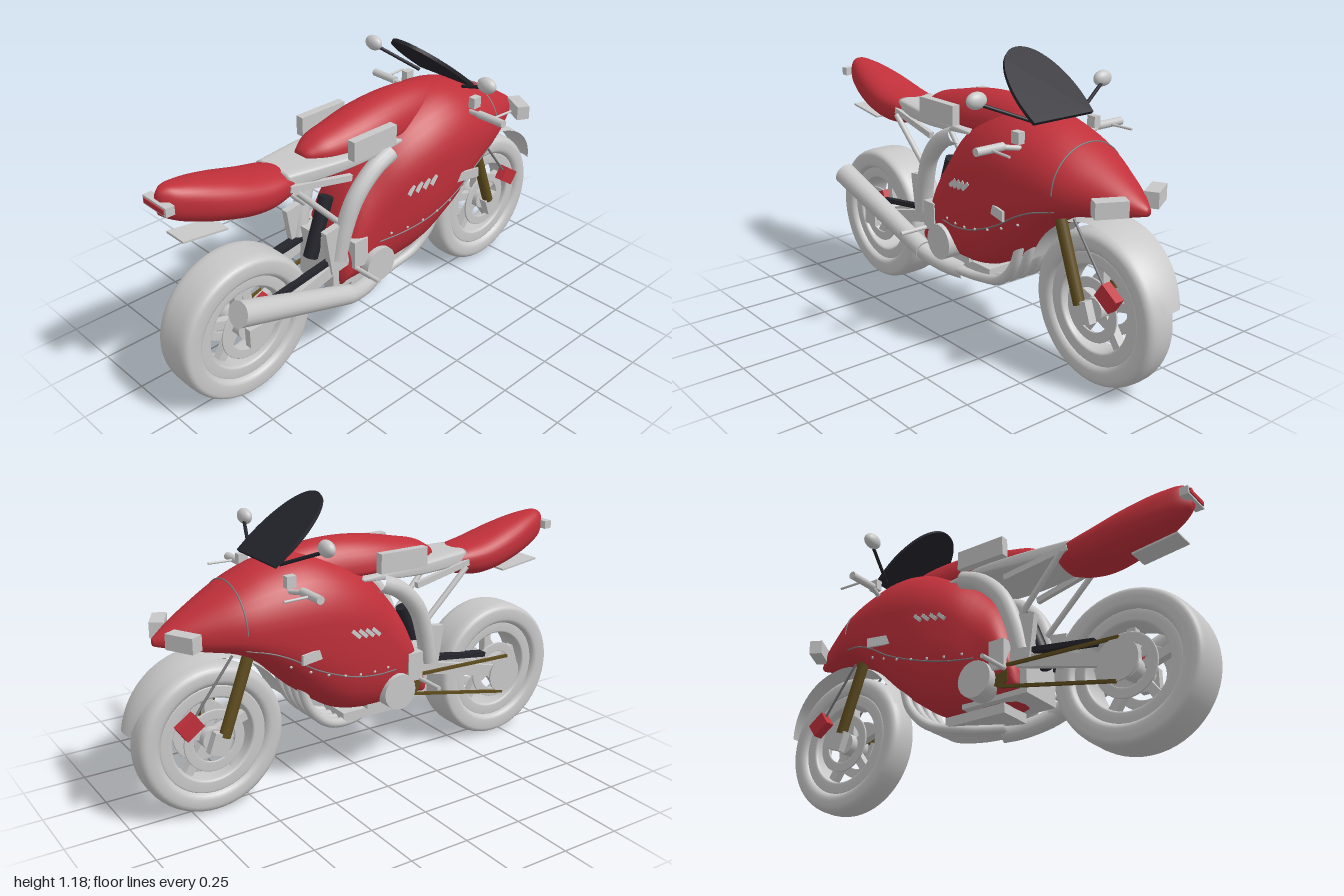
import * as THREE from 'three';

const V = (x, y, z) => new THREE.Vector3(x, y, z);
const mat = (name, color, side = THREE.FrontSide) => {
  const m = new THREE.MeshStandardMaterial({ color, side });
  m.name = name;
  return m;
};
const red = mat('redPaint', 0xc0303a);
const grey = mat('lightMetal', 0xc8c8c8);
const greySheet = mat('lightSheet', 0xc8c8c8, THREE.DoubleSide);
const black = mat('darkGlass', 0x24242c);
const olive = mat('bronze', 0x5f4d1e);
const seamMat = mat('seamGrey', 0x77777a);

// Stations are [z, top, bottom, halfWidth, widestY], smoothly interpolated along z
function profile(st) {
  const it = new THREE.CubicInterpolant(st.map(s => s[0]), st.flatMap(s => s.slice(1)), 4);
  return z => Array.from(it.evaluate(z));
}
const UP = 1, LOW = 0.72;
function loft(st, up = UP, low = LOW, rows = 40, sides = 36) {
  const at = profile(st), z0 = st[0][0], z1 = st[st.length - 1][0], pos = [], idx = [];
  for (let i = 0; i <= rows; i++) {
    const z = z0 + (z1 - z0) * i / rows, [t, b, w, m] = at(z);
    for (let j = 0; j < sides; j++) {
      const a = j / sides * Math.PI * 2, c = Math.cos(a), s = Math.sin(a), e = s > 0 ? up : low;
      pos.push(w * Math.sign(c) * Math.abs(c) ** e,
        m + (s > 0 ? t - m : m - b) * Math.sign(s) * Math.abs(s) ** e, z);
    }
  }
  for (let i = 0; i < rows; i++) for (let j = 0; j < sides; j++) {
    const a = i * sides + j, b = i * sides + (j + 1) % sides;
    idx.push(a, b, b + sides, a, b + sides, a + sides);
  }
  const n = pos.length / 3, last = rows * sides;
  pos.push(0, at(z0)[3], z0, 0, at(z1)[3], z1);
  for (let j = 0; j < sides; j++) {
    const k = (j + 1) % sides;
    idx.push(n, k, j, n + 1, last + j, last + k);
  }
  const g = new THREE.BufferGeometry();
  g.setAttribute('position', new THREE.Float32BufferAttribute(pos, 3));
  g.setIndex(idx);
  g.computeVertexNormals();
  return g;
}

export function createModel() {
  const root = new THREE.Group();
  const add = (name, geo, m, p = [0, 0, 0], r = [0, 0, 0], parent = root) => {
    const o = new THREE.Mesh(geo, m);
    o.name = name;
    o.position.set(...p);
    o.rotation.set(...r);
    parent.add(o);
    return o;
  };
  const box = (name, s, m, p, r, parent) => add(name, new THREE.BoxGeometry(...s), m, p, r, parent);
  const rod = (name, a, b, r, m, r2 = r) => {
    const A = V(...a), B = V(...b), d = B.clone().sub(A);
    const o = add(name, new THREE.CylinderGeometry(r2, r, d.length(), 20), m);
    o.position.copy(A).add(B).multiplyScalar(0.5);
    o.quaternion.setFromUnitVectors(V(0, 1, 0), d.normalize());
  };
  const bar = (name, a, b, w, h, m) => {
    const A = V(...a), B = V(...b);
    const o = box(name, [w, h, A.distanceTo(B)], m);
    o.position.copy(A).add(B).multiplyScalar(0.5);
    o.lookAt(B);
  };
  const tube = (name, pts, r, m, n = 32) =>
    add(name, new THREE.TubeGeometry(new THREE.CatmullRomCurve3(pts.map(p => V(...p))), n, r, 12), m);

  // Fairing, tank, seat and tail
  const fairing = [
    [-0.86, 0.735, 0.705, 0.015, 0.72], [-0.8, 0.775, 0.688, 0.06, 0.73], [-0.7, 0.835, 0.665, 0.118, 0.735],
    [-0.57, 0.905, 0.635, 0.18, 0.74], [-0.45, 0.955, 0.56, 0.208, 0.74], [-0.3, 0.982, 0.42, 0.225, 0.74],
    [-0.15, 0.95, 0.32, 0.22, 0.72], [0, 0.87, 0.285, 0.19, 0.66], [0.1, 0.77, 0.28, 0.16, 0.56],
    [0.2, 0.62, 0.285, 0.145, 0.46], [0.27, 0.4, 0.3, 0.13, 0.35]];
  add('fairing', loft(fairing), red);
  add('tank', loft([[-0.4, 0.955, 0.86, 0.06, 0.88], [-0.25, 0.998, 0.85, 0.1, 0.88], [-0.11, 1.008, 0.85, 0.115, 0.88],
    [0.05, 0.995, 0.85, 0.12, 0.88], [0.2, 0.965, 0.85, 0.1, 0.88], [0.3, 0.94, 0.86, 0.075, 0.885],
    [0.36, 0.905, 0.87, 0.035, 0.885]]), red);
  add('seat', loft([[-0.05, 0.855, 0.84, 0.13, 0.847], [0.1, 0.87, 0.83, 0.14, 0.85], [0.25, 0.878, 0.82, 0.13, 0.85],
    [0.5, 0.885, 0.82, 0.09, 0.85]], 0.35, 0.35), grey);
  add('tail', loft([[0.44, 0.875, 0.79, 0.085, 0.83], [0.5, 0.89, 0.768, 0.105, 0.835], [0.6, 0.91, 0.757, 0.118, 0.84],
    [0.75, 0.953, 0.785, 0.108, 0.87], [0.9, 0.984, 0.835, 0.068, 0.915], [0.955, 0.985, 0.865, 0.042, 0.925],
    [0.98, 0.97, 0.885, 0.018, 0.925]], 0.85, 0.85), red);

  // Point on the fairing skin at a given z and y
  const fairAt = profile(fairing);
  const skin = (z, y) => {
    const [t, b, w, m] = fairAt(z), e = y > m ? UP : LOW;
    const s = Math.min(1, Math.abs(y - m) / (y > m ? t - m : m - b));
    return w * (1 - s ** (2 / e)) ** (e / 2);
  };
  const noseSeam = [];
  for (let i = 0; i <= 16; i++) {
    const a = i / 16 * Math.PI, [t, , w, m] = fairAt(-0.57);
    noseSeam.push([w * Math.cos(a), m + (t - m) * Math.sin(a), -0.57]);
  }
  tube('noseSeam', noseSeam, 0.003, seamMat);

  // Windscreen
  const sc = new THREE.Shape();
  sc.moveTo(-0.145, 0);
  sc.lineTo(0.145, 0);
  sc.bezierCurveTo(0.158, 0.1, 0.152, 0.17, 0.12, 0.25);
  sc.bezierCurveTo(0.085, 0.325, 0.04, 0.348, 0, 0.348);
  sc.bezierCurveTo(-0.04, 0.348, -0.085, 0.325, -0.12, 0.25);
  sc.bezierCurveTo(-0.152, 0.17, -0.158, 0.1, -0.145, 0);
  add('windscreen', new THREE.ExtrudeGeometry(sc, { depth: 0.014, bevelEnabled: false }), black,
    [0, 0.97, -0.44], [0.887, 0, 0]);

  // Wheels
  const ringGeo = (r0, r1, w, e) => {
    const pts = [];
    for (let i = 0; i <= 32; i++) {
      const a = i / 32 * Math.PI * 2, c = Math.cos(a), s = Math.sin(a);
      pts.push(new THREE.Vector2((r0 + r1) / 2 + (r1 - r0) / 2 * Math.sign(c) * Math.abs(c) ** e,
        w * Math.sign(s) * Math.abs(s) ** e));
    }
    return new THREE.LatheGeometry(pts, 56).rotateZ(Math.PI / 2);
  };
  const wheel = (name, z, w, e) => {
    const g = new THREE.Group();
    g.name = name;
    g.position.set(0, 0.305, z);
    root.add(g);
    add('tyre', ringGeo(0.21, 0.3, w, e), grey, [0, 0, 0], [0, 0, 0], g);
    add('rim', ringGeo(0.165, 0.222, w * 0.75, 0.3), grey, [0, 0, 0], [0, 0, 0], g);
    add('hub', new THREE.CylinderGeometry(0.045, 0.045, w * 1.5, 24), grey, [0, 0, 0], [0, 0, Math.PI / 2], g);
    for (let i = 0; i < 5; i++) {
      const a = i / 5 * Math.PI * 2;
      box('spoke', [0.035, 0.15, 0.035], grey, [0, 0.105 * Math.cos(a), 0.105 * Math.sin(a)], [a, 0, 0], g);
    }
    for (const s of [-1, 1])
      add('brakeDisc', ringGeo(0.085, 0.125, 0.004, 0.3), grey, [s * w * 0.8, 0, 0], [0, 0, 0], g);
  };
  wheel('rearWheel', 0.7, 0.09, 0.5);
  wheel('frontWheel', -0.663, 0.066, 0.7);

  // Front fender, narrowing to its tip
  const fg = new THREE.PlaneGeometry(2, 1, 8, 32), fp = fg.attributes.position;
  for (let i = 0; i < fp.count; i++) {
    const u = fp.getX(i), t = fp.getY(i) + 0.5, a = 0.34 + t * 2.53;
    const r = 0.325 + 0.02 * Math.min(1, t * 2) - 0.008 * u * u;
    const w = 0.085 * (t > 0.6 ? 1 - 0.5 * ((t - 0.6) / 0.4) ** 2 : 1);
    fp.setXYZ(i, u * w, 0.305 + r * Math.sin(a), -0.663 + r * Math.cos(a));
  }
  fg.computeVertexNormals();
  add('frontFender', fg, greySheet);

  // Parts on both sides
  for (const s of [-1, 1]) {
    rod('forkLeg', [s * 0.095, 0.66, -0.52], [s * 0.095, 0.33, -0.64], 0.023, olive);
    box('forkFoot', [0.035, 0.085, 0.075], grey, [s * 0.092, 0.305, -0.66], [0.35, 0, 0]);
    box('frontCaliper', [0.04, 0.065, 0.085], red, [s * 0.085, 0.4, -0.775], [-0.6, 0, 0]);
    rod('brakeLine', [s * 0.085, 0.42, -0.76], [s * 0.085, 0.64, -0.59], 0.005, seamMat);
    box('headlight', [0.12, 0.06, 0.055], grey, [s * 0.112, 0.74, -0.79], [0, -s * 0.5, 0]);
    // Controls and mirrors
    rod('gripStem', [s * 0.14, 0.868, -0.4], [s * 0.24, 0.885, -0.375], 0.01, grey);
    rod('grip', [s * 0.235, 0.887, -0.375], [s * 0.36, 0.887, -0.375], 0.016, grey);
    rod('lever', [s * 0.295, 0.885, -0.38], [s * 0.302, 0.885, -0.49], 0.005, grey);
    box('reservoir', [0.03, 0.045, 0.04], grey, [s * 0.188, 0.918, -0.4]);
    rod('mirrorStem', [s * 0.12, 0.965, -0.4], [s * 0.29, 1.035, -0.33], 0.007, black);
    add('mirror', new THREE.SphereGeometry(1, 24, 16), grey, [s * 0.31, 1.053, -0.318]).scale.set(0.043, 0.032, 0.026);
    // Fairing details
    const lie = (name, l, h, y, z, tilt) =>
      box(name, [0.009, h, l], grey, [s * (skin(z, y) + 0.003), y, z], [tilt, s * (y > 0.63 ? 0.1 : -0.25), 0]);
    lie('sideVent', 0.14, 0.04, 0.625, -0.315, 0);
    for (let i = 0; i < 4; i++) lie('louvre', 0.045, 0.015, 0.66 + i * 0.005, -0.03 - i * 0.035, 0.75);
    const seam = [[0.1, 0.46], [-0.02, 0.47], [-0.15, 0.5], [-0.3, 0.56], [-0.4, 0.62], [-0.48, 0.655], [-0.57, 0.675]];
    tube('sideSeam', seam.map(([z, y]) => [s * skin(z, y), y, z]), 0.003, seamMat);
    for (let i = 0; i < 7; i++) {
      const z = 0.05 - i * 0.075, y = 0.485 + 0.5 * (0.05 - z) ** 2;
      add('rivet', new THREE.SphereGeometry(0.006, 8, 6), grey, [s * skin(z, y), y, z]);
    }
    box('kneePanel', [0.035, 0.08, 0.22], grey, [s * 0.145, 0.91, 0.13]);
    // Frame and swingarm
    tube('mainFrame', [[s * 0.14, 0.83, 0.03], [s * 0.14, 0.79, 0.12], [s * 0.135, 0.7, 0.21], [s * 0.125, 0.58, 0.26],
      [s * 0.115, 0.45, 0.29]], 0.036, grey);
    bar('subframeRail', [s * 0.1, 0.835, 0.5], [s * 0.12, 0.785, 0.22], 0.02, 0.025, grey);
    rod('subframeBrace', [s * 0.115, 0.82, 0.48], [s * 0.1, 0.6, 0.27], 0.012, grey);
    box('pivotPlate', [0.03, 0.2, 0.09], grey, [s * 0.115, 0.5, 0.3], [0.15, 0, 0]);
    bar('swingarm', [s * 0.108, 0.42, 0.27], [s * 0.108, 0.305, 0.72], 0.024, 0.05, grey);
    box('axleBlock', [0.03, 0.08, 0.08], grey, [s * 0.115, 0.305, 0.7]);
    rod('footPeg', [s * 0.1, 0.392, 0.225], [s * 0.28, 0.392, 0.225], 0.009, grey);
    rod('engineCover', [s * 0.08, 0.365, 0.11], [s * 0.175, 0.365, 0.11], 0.075, grey);
    box('coverBracket', [0.05, 0.12, 0.07], grey, [s * 0.13, 0.45, 0.2]);
  }

  // Tail lamp and plate holder
  box('tailLampFrame', [0.135, 0.034, 0.035], grey, [0, 0.925, 0.975]);
  box('tailLampLens', [0.115, 0.018, 0.006], red, [0, 0.925, 0.994]);
  box('plateHolder', [0.1, 0.008, 0.19], grey, [0, 0.763, 0.835], [-0.13, 0, 0]);

  // Engine, shock and exhaust
  box('engine', [0.2, 0.22, 0.3], grey, [0, 0.4, 0.15]);
  box('sump', [0.15, 0.04, 0.28], grey, [0, 0.265, 0.04]);
  rod('shock', [0, 0.66, 0.24], [0, 0.42, 0.33], 0.03, black);
  bar('chainGuard', [-0.1, 0.455, 0.28], [-0.1, 0.41, 0.6], 0.04, 0.02, black);
  bar('linkage', [0.1, 0.45, 0.28], [0.1, 0.4, 0.62], 0.025, 0.02, black);
  for (const x of [-0.09, -0.03, 0.03, 0.09])
    tube('header', [[x, 0.48, -0.31], [x, 0.36, -0.27], [x * 0.9, 0.27, -0.18], [x * 0.6 + 0.02, 0.232, -0.03],
      [x * 0.3 + 0.07, 0.232, 0.1]], 0.02, grey);
  tube('exhaustPipe', [[0.07, 0.225, 0.07], [0.1, 0.235, 0.14], [0.135, 0.265, 0.24], [0.152, 0.3, 0.32]], 0.037, grey);
  rod('muffler', [0.145, 0.28, 0.26], [0.18, 0.49, 0.82], 0.04, grey, 0.05);

  // Chain drive and rear caliper
  for (const [z, y, r] of [[0.7, 0.305, 0.082], [0.2, 0.365, 0.04]])
    rod('sprocket', [-0.138, y, z], [-0.13, y, z], r, z > 0.5 ? grey : olive);
  bar('chainUpper', [-0.135, 0.405, 0.2], [-0.135, 0.387, 0.71], 0.012, 0.012, olive);
  bar('chainLower', [-0.135, 0.325, 0.2], [-0.135, 0.224, 0.69], 0.012, 0.012, olive);
  box('rearCaliper', [0.03, 0.06, 0.07], red, [0.088, 0.4, 0.65], [0.4, 0, 0]);

  return root;
}
